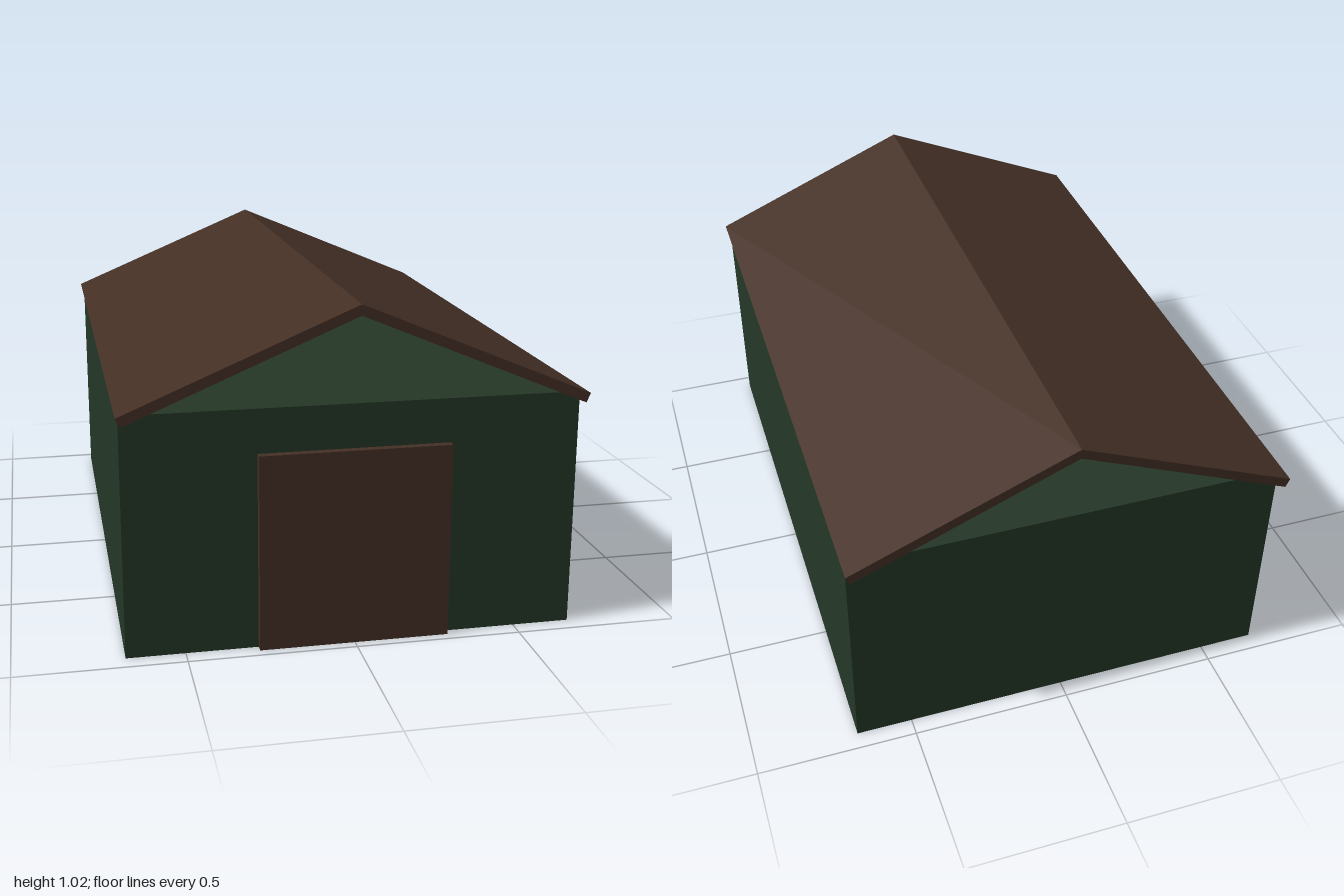
import * as THREE from 'three';

export function createModel() {
  const group = new THREE.Group();
  const green = new THREE.MeshStandardMaterial({ color: 0x243727 });
  green.name = 'dark green';
  const brown = new THREE.MeshStandardMaterial({ color: 0x442f25 });
  brown.name = 'dark brown';

  const add = (name, geometry, material, x, y, z) => {
    const mesh = new THREE.Mesh(geometry, material);
    mesh.name = name;
    mesh.position.set(x, y, z);
    group.add(mesh);
  };

  // Closed shed body and the door standing proud of the front wall
  add('walls', new THREE.BoxGeometry(1.35, 0.728, 1.89), green, 0, 0.364, 0);
  add('door', new THREE.BoxGeometry(0.57, 0.595, 0.025), brown, 0, 0.2975, 0.9575);

  // Pitched roof: two slabs meeting at the ridge, with open gables
  const roof = new THREE.Shape([
    [0, 1.025], [-0.685, 0.737], [-0.673, 0.709],
    [0, 0.993], [0.673, 0.709], [0.685, 0.737],
  ].map(([x, y]) => new THREE.Vector2(x, y)));
  add('roof', new THREE.ExtrudeGeometry(roof, { depth: 2, bevelEnabled: false }), brown, 0, 0, -1);

  return group;
}
